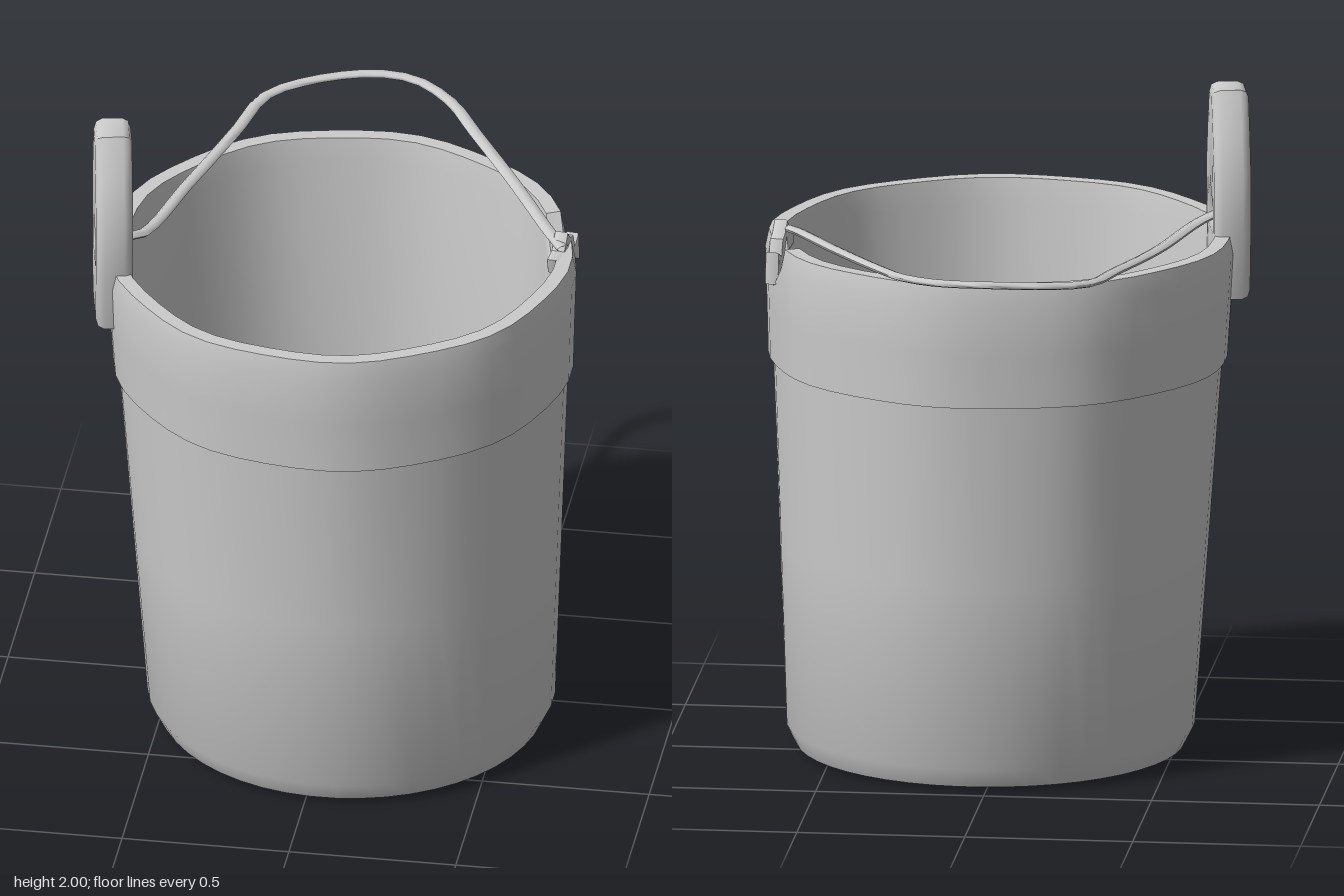
import * as THREE from 'three';
import { toCreasedNormals } from 'three/addons/utils/BufferGeometryUtils.js';

const material = new THREE.MeshStandardMaterial({ color: 0xcccccc, side: THREE.DoubleSide });

function part(name, geometry, crease = 0.7) {
  const mesh = new THREE.Mesh(toCreasedNormals(geometry, crease), material);
  mesh.name = name;
  return mesh;
}

// Flat plate cut from an outline in (z, y), with rounded edges
function plate(outline, hole, depth, bevel) {
  const shape = new THREE.Shape(outline.map(p => new THREE.Vector2(...p)));
  if (hole) shape.holes.push(new THREE.Path(hole.map(p => new THREE.Vector2(...p))));
  const geometry = new THREE.ExtrudeGeometry(shape, {
    depth, bevelEnabled: true, bevelSize: bevel, bevelThickness: bevel, bevelSegments: 2,
  });
  return geometry.translate(0, 0, -depth / 2);
}

// Double-walled tub, leaning slightly, with a chip in its rim
function tub() {
  const profile = [
    [0, 0.005], [0.5, 0.005], [0.575, 0.02], [0.605, 0.08], [0.635, 0.64],
    [0.665, 1.2], [0.68, 1.2], [0.687, 1.36], [0.695, 1.52], [0.685, 1.575],
    [0.64, 1.575], [0.63, 1.5], [0.595, 0.8], [0.56, 0.12], [0.5, 0.09], [0, 0.08],
  ].map(p => new THREE.Vector2(...p));
  const segments = 48, chipAngle = 1.9;
  const start = chipAngle - 14 * Math.PI * 2 / segments;
  const geometry = new THREE.LatheGeometry(profile, segments, start);
  const pos = geometry.attributes.position;
  for (let i = 0; i < pos.count; i++) {
    const x = pos.getX(i), y = pos.getY(i), z = pos.getZ(i);
    const angle = Math.atan2(x, z);
    const chipped = y > 1.49 && Math.abs(angle - chipAngle) < 0.02;
    // gently hand-made outline
    const wobble = 1 + 0.008 * Math.sin(angle * 9) * (y / 1.6);
    pos.setXYZ(i, x * wobble + 0.05 - 0.022 * y, chipped ? 1.44 + (y - 1.5) * 0.2 : y, z * wobble + 0.12);
  }
  return part('tub', geometry);
}

// Tall pierced ear that holds one end of the handle
function ear() {
  const mesh = part('ear', plate(
    [[-0.09, 1.4], [0.09, 1.4], [0.12, 1.58], [0.125, 1.75], [0.085, 1.87], [0.04, 1.975],
      [-0.04, 1.975], [-0.085, 1.87], [-0.125, 1.75], [-0.12, 1.58]],
    [[-0.085, 1.57], [-0.085, 1.65], [0, 1.71], [0.085, 1.65], [0.085, 1.57]],
    0.06, 0.025), 1.0);
  mesh.rotation.y = -1.37;
  mesh.position.set(-0.645, 0, 0.26);
  return mesh;
}

// Splintered stump of the opposite ear
function brokenEar() {
  const mesh = part('brokenEar', plate(
    [[-0.13, 1.46], [-0.03, 1.52], [0.08, 1.53], [0.09, 1.57], [0.04, 1.57], [0.0, 1.61],
      [-0.03, 1.58], [-0.06, 1.57], [-0.08, 1.52], [-0.12, 1.54]],
    null, 0.03, 0.006), 0.4);
  mesh.rotation.y = -Math.PI / 2 - 0.1;
  mesh.position.set(0.66, 0, 0.01);
  return mesh;
}

// Flattened bail swung down over the back rim
function handle() {
  const path = new THREE.CurvePath();
  const points = [
    [-0.65, 1.63, 0.26], [-0.575, 1.605, 0.2], [-0.48, 1.595, -0.14], [-0.385, 1.605, -0.46],
    [-0.33, 1.615, -0.65], [-0.22, 1.625, -0.735], [-0.03, 1.637, -0.79], [0.1, 1.635, -0.775],
    [0.22, 1.625, -0.68], [0.31, 1.615, -0.54], [0.47, 1.605, -0.28], [0.62, 1.595, -0.02], [0.67, 1.585, 0.05],
  ].map(([x, y, z]) => new THREE.Vector3(x, 1.6 + (y - 1.6) * 1.8, z));
  for (let i = 1; i < points.length; i++) path.add(new THREE.LineCurve3(points[i - 1], points[i]));
  const smooth = new THREE.CatmullRomCurve3(points, false, 'centripetal');
  const geometry = new THREE.TubeGeometry(smooth, 40, 0.019, 8);
  geometry.translate(0, -1.6, 0).scale(1, 1 / 1.8, 1).translate(0, 1.6, 0);
  return part('handle', geometry, 1.2);
}

export function createModel() {
  const group = new THREE.Group();
  group.name = 'bucket';
  group.add(tub(), ear(), brokenEar(), handle());
  return group;
}
